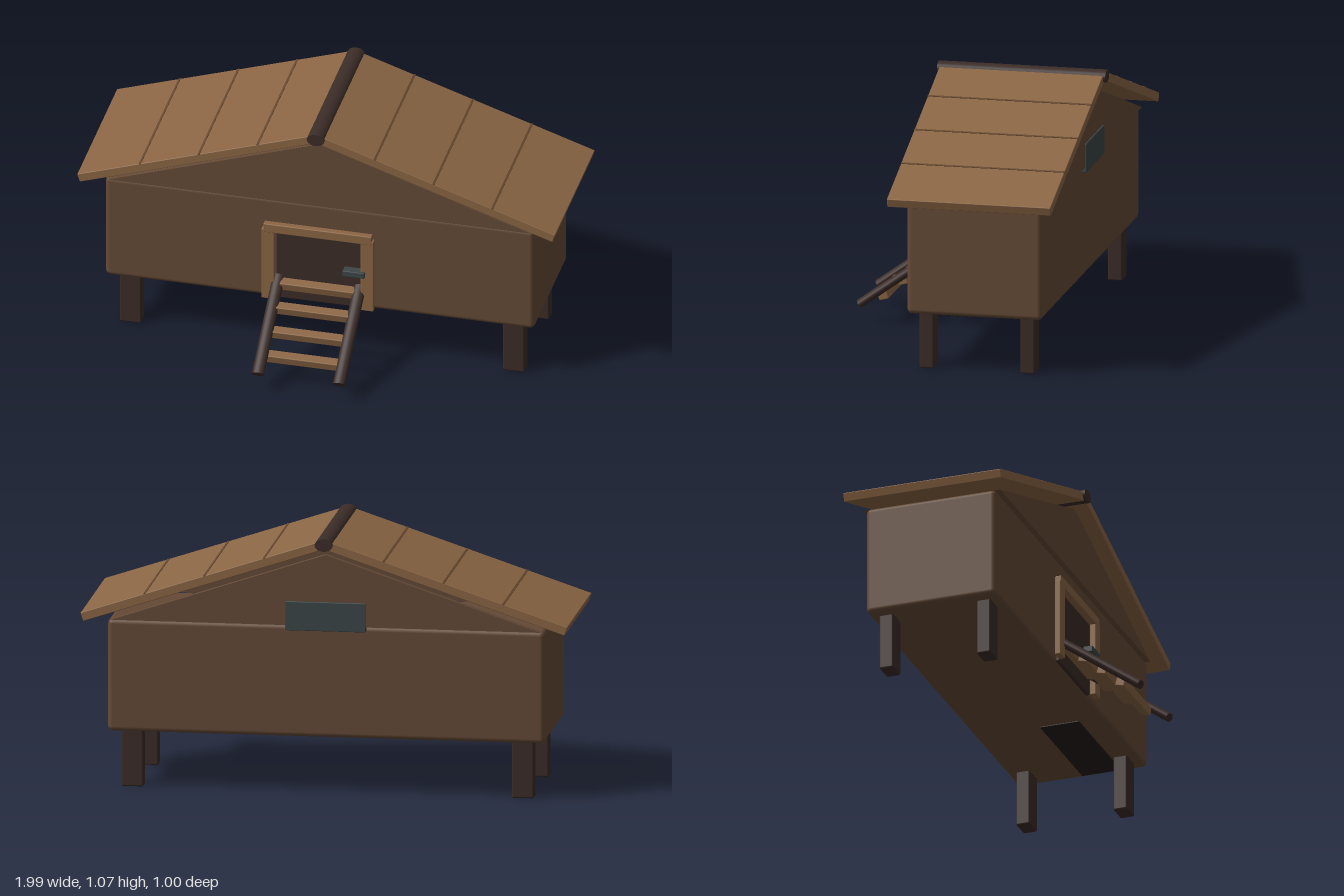
import * as THREE from 'three';
import { RoundedBoxGeometry } from 'three/addons/geometries/RoundedBoxGeometry.js';

const material = (color) => new THREE.MeshStandardMaterial({ color });

export function createModel() {
  const model = new THREE.Group();
  model.name = 'raisedCoop';

  const wall = material(0x654a36);
  const dark = material(0x3b2c27);
  const plank = material(0x8b6644);
  const seam = material(0x66482f);
  const floor = material(0x241a16);
  const metal = material(0x3c4547);

  const add = (name, geometry, mat, x = 0, y = 0, z = 0, parent = model) => {
    const mesh = new THREE.Mesh(geometry, mat);
    mesh.name = name;
    mesh.position.set(x, y, z);
    parent.add(mesh);
    return mesh;
  };
  // Box given by its minimum and maximum corners, with softened edges
  const block = (name, mat, [x0, y0, z0], [x1, y1, z1], radius = 0.004, parent = model) =>
    add(name, new RoundedBoxGeometry(x1 - x0, y1 - y0, z1 - z0, 3, radius), mat,
      (x0 + x1) / 2, (y0 + y1) / 2, (z0 + z1) / 2, parent);

  // House body
  block('body', wall, [-0.895, 0.235, -0.43], [0.895, 0.7, 0.13], 0.02);

  // Legs
  for (const x of [-0.8, 0.8]) {
    for (const z of [0.06, -0.36]) {
      block('leg', dark, [x - 0.045, 0, z - 0.03], [x + 0.045, 0.26, z + 0.03], 0.007);
    }
  }

  // Triangular gable panels at the front and back
  const triangle = new THREE.Shape([
    new THREE.Vector2(-0.88, 0.7),
    new THREE.Vector2(0.88, 0.7),
    new THREE.Vector2(0, 0.995),
  ]);
  const gable = new THREE.ExtrudeGeometry(triangle, { depth: 0.027, bevelEnabled: false });
  add('frontGable', gable, wall, 0, 0, 0.118);
  add('backGable', gable, wall, 0, 0, -0.445);

  // Sloping roof halves with plank seams
  const slope = Math.atan2(0.325, 0.98);
  const length = 1.045;
  const thickness = 0.037;
  for (const side of [-1, 1]) {
    const half = new THREE.Group();
    half.name = side > 0 ? 'leftRoof' : 'rightRoof';
    half.position.set(0, 1.066, -0.15);
    half.rotation.z = -side * slope;
    model.add(half);
    block('roofPanel', plank, [side > 0 ? 0.006 : -length - 0.006, -thickness, -0.34],
      [side > 0 ? length + 0.006 : -0.006, 0, 0.34], 0.003, half);
    for (const x of [0.245, 0.49, 0.735]) {
      add('plankSeam', new THREE.BoxGeometry(0.009, 0.004, 0.68), seam,
        side * x / Math.cos(slope), 0, 0, half);
    }
  }

  // Ridge pole
  const ridge = add('ridgePole', new THREE.CylinderGeometry(0.026, 0.026, 0.7, 20), dark, 0, 1.046, -0.15);
  ridge.rotation.x = Math.PI / 2;
  ridge.scale.x = 1.42;

  // Door, frame and latch
  block('door', dark, [-0.178, 0.243, 0.12], [0.178, 0.558, 0.142]);
  for (const side of [-1, 1]) {
    block('doorPost', plank, [side * 0.207 - 0.027, 0.246, 0.142], [side * 0.207 + 0.027, 0.576, 0.168]);
  }
  block('doorLintel', plank, [-0.226, 0.56, 0.141], [0.226, 0.6, 0.169]);
  block('latch', metal, [0.107, 0.404, 0.14], [0.198, 0.43, 0.18], 0.003);

  // Ladder rails
  const ladder = new THREE.Group();
  ladder.name = 'ladder';
  model.add(ladder);
  const top = new THREE.Vector3(0, 0.342, 0.13);
  const foot = new THREE.Vector3(0, 0.083, 0.49);
  const run = top.clone().sub(foot);
  const middle = top.clone().add(foot).multiplyScalar(0.5);
  for (const x of [-0.169, 0.169]) {
    const rail = add('ladderRail', new THREE.CylinderGeometry(0.018, 0.018, run.length(), 16), dark,
      x, middle.y, middle.z, ladder);
    rail.rotation.x = Math.atan2(run.z, run.y);
    rail.scale.x = 1.42;
  }

  // Ladder rungs
  for (let i = 0; i < 4; i++) {
    const rung = add('ladderRung', new RoundedBoxGeometry(0.31, 0.036, 0.04, 2, 0.004), plank,
      0, 0.118 + i * 0.067, 0.397 - i * 0.08, ladder);
    rung.rotation.x = 0.25;
  }

  // Rear vent and underside hatch
  block('rearVent', metal, [-0.165, 0.68, -0.452], [0.165, 0.8, -0.425], 0.003);
  block('floorHatch', floor, [0.375, 0.23, -0.145], [0.87, 0.245, 0.022], 0.002);

  return model;
}
